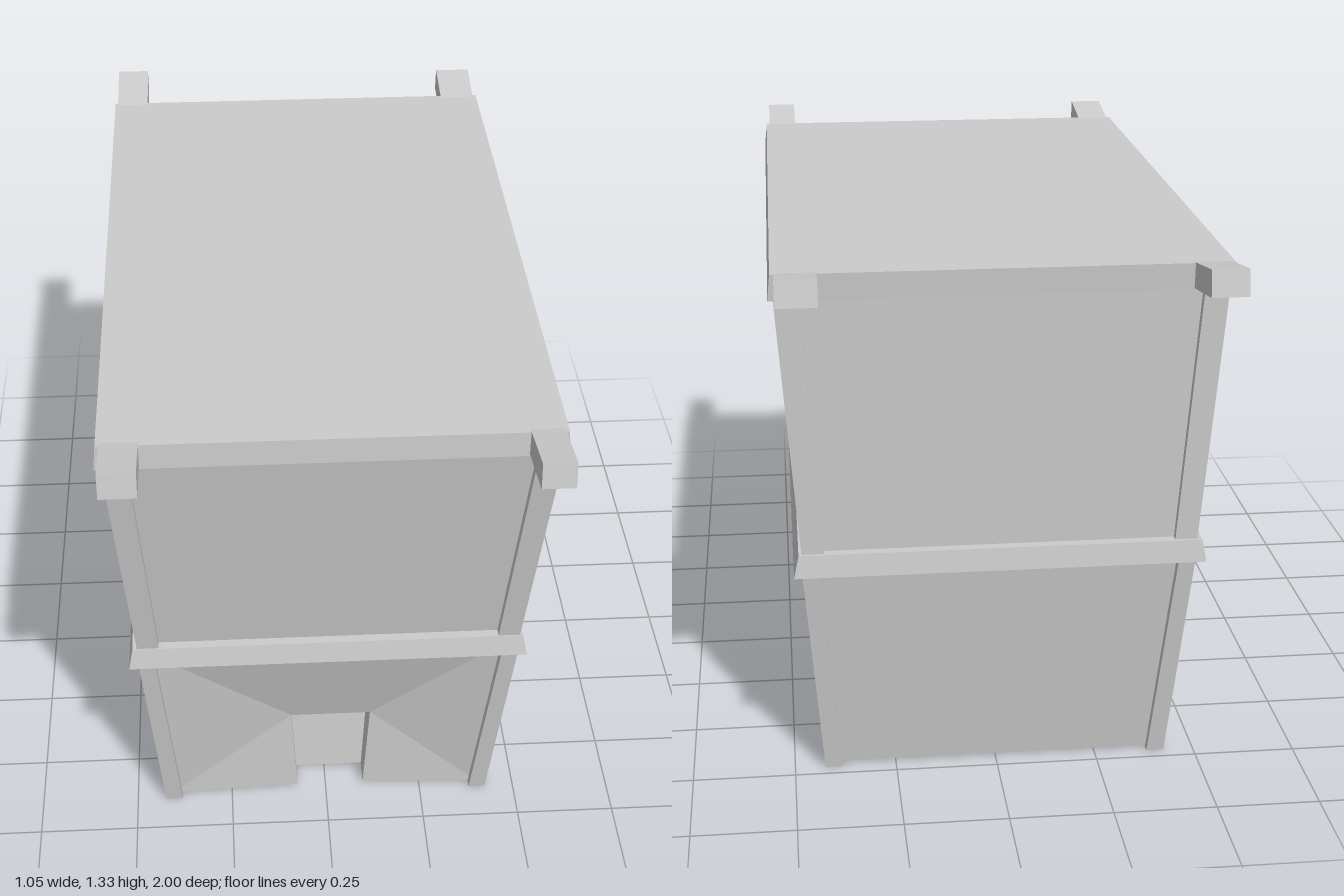
import * as THREE from 'three';

const material = new THREE.MeshStandardMaterial({ color: 0xcccccc, flatShading: true });

// Mesh from flat polygons, each a counter-clockwise list of [x, y, z] corners
function polyMesh(name, faces) {
  const positions = [];
  for (const f of faces) {
    for (let i = 1; i < f.length - 1; i++) positions.push(...f[0], ...f[i], ...f[i + 1]);
  }
  const geometry = new THREE.BufferGeometry();
  geometry.setAttribute('position', new THREE.Float32BufferAttribute(positions, 3));
  geometry.computeVertexNormals();
  const mesh = new THREE.Mesh(geometry, material);
  mesh.name = name;
  return mesh;
}

// Solid between two four-cornered sections
function loft(name, a, b) {
  const faces = [[...a].reverse(), b];
  for (let i = 0; i < 4; i++) {
    const j = (i + 1) % 4;
    faces.push([a[i], a[j], b[j], b[i]]);
  }
  return polyMesh(name, faces);
}

// Horizontal rectangle at height y, and upright rectangle at depth z
const level = (y, x0, x1, z0, z1) => [[x0, y, z1], [x1, y, z1], [x1, y, z0], [x0, y, z0]];
const upright = (z, x0, x1, y0, y1) => [[x0, y0, z], [x1, y0, z], [x1, y1, z], [x0, y1, z]];

// Lower bin with a sunken front funnelling to a chute opening
function lowerBin() {
  const y0 = 0.004, y1 = 0.58;
  const [P0, P1, B1, B0] = level(y0, -0.405, 0.405, -0.7, 0.632);
  const [P3, P2, B2, B3] = level(y1, -0.448, 0.448, -0.778, 0.715);
  // chute mouth and its recessed back
  const D0 = [-0.075, y0, 0.618], D1 = [0.1, y0, 0.618];
  const D2 = [0.115, 0.26, 0.62], D3 = [-0.09, 0.26, 0.62];
  const R0 = [-0.075, y0, 0.55], R1 = [0.1, y0, 0.55];
  const R2 = [0.115, 0.25, 0.53], R3 = [-0.09, 0.25, 0.53];
  return polyMesh('lowerBin', [
    // sunken front
    [P0, D0, D3], [P0, D3, P3], [P3, D3, D2, P2], [P1, P2, D2], [D1, P1, D2],
    // chute
    [D0, R0, R3, D3], [D3, R3, R2, D2], [D1, D2, R2, R1], [R0, R1, R2, R3],
    // underside around the chute
    [P0, B0, R0], [P0, R0, D0], [R0, B0, B1, R1], [R1, B1, P1], [R1, P1, D1],
    // sides, back and top
    [P0, P3, B3, B0], [P1, B1, B2, P2], [B1, B0, B3, B2], [P3, P2, B2, B3],
  ]);
}

// Corner posts for one storey; each level gives height, outer and inner x, and front and back z pairs
function addPosts(group, name, lo, hi) {
  const section = (l, side, end) => {
    const x = [side * l.x[0], side * l.x[1]].sort((a, b) => a - b);
    const z = [...l[end]].sort((a, b) => a - b);
    return level(l.y, ...x, ...z);
  };
  for (const side of [-1, 1]) {
    for (const end of ['front', 'back']) {
      const label = name + (end === 'front' ? 'Front' : 'Back') + (side > 0 ? 'Left' : 'Right');
      group.add(loft(label, section(lo, side, end), section(hi, side, end)));
    }
  }
}

export function createModel() {
  const group = new THREE.Group();
  group.name = 'taperedBin';

  // Walls
  group.add(lowerBin());
  group.add(loft('upperBin',
    level(0.6, -0.448, 0.448, -0.785, 0.712),
    level(1.25, -0.493, 0.493, -0.805, 0.818)));

  // Corner posts
  addPosts(group, 'lowerPost',
    { y: 0, x: [0.425, 0.382], front: [0.65, 0.597], back: [-0.72, -0.677] },
    { y: 0.58, x: [0.47, 0.43], front: [0.735, 0.682], back: [-0.8, -0.757] });
  addPosts(group, 'upperPost',
    { y: 0.6, x: [0.468, 0.415], front: [0.733, 0.663], back: [-0.802, -0.742] },
    { y: 1.25, x: [0.515, 0.458], front: [0.84, 0.765], back: [-0.825, -0.76] });

  // Middle band and closed top rim
  group.add(loft('middleBand',
    level(0.56, -0.49, 0.488, -0.817, 0.748),
    level(0.615, -0.48, 0.476, -0.81, 0.738)));
  group.add(loft('topRim',
    level(1.24, -0.528, 0.526, -0.832, 0.841),
    level(1.302, -0.522, 0.52, -0.836, 0.838)));

  // Carrying handles, angled up and slightly uneven
  const handles = [
    ['handleFrontRight', 1, -0.513, -0.428, 0.98],
    ['handleFrontLeft', 1, 0.435, 0.511, 1.0],
    ['handleBackRight', -1, -0.515, -0.43, 1.0],
    ['handleBackLeft', -1, 0.418, 0.511, 0.97],
  ];
  for (const [name, dir, x0, x1, reach] of handles) {
    const rise = (reach - 0.83) * 0.17;
    const inner = upright(dir * 0.82, x0, x1, 1.241, 1.301);
    // outer end leans with the slope
    const outer = upright(dir * reach, x0, x1, 1.24 + rise, 1.301 + rise);
    outer[2][2] = outer[3][2] = dir * (reach - 0.01);
    group.add(dir > 0 ? loft(name, inner, outer) : loft(name, outer, inner));
  }
  return group;
}
